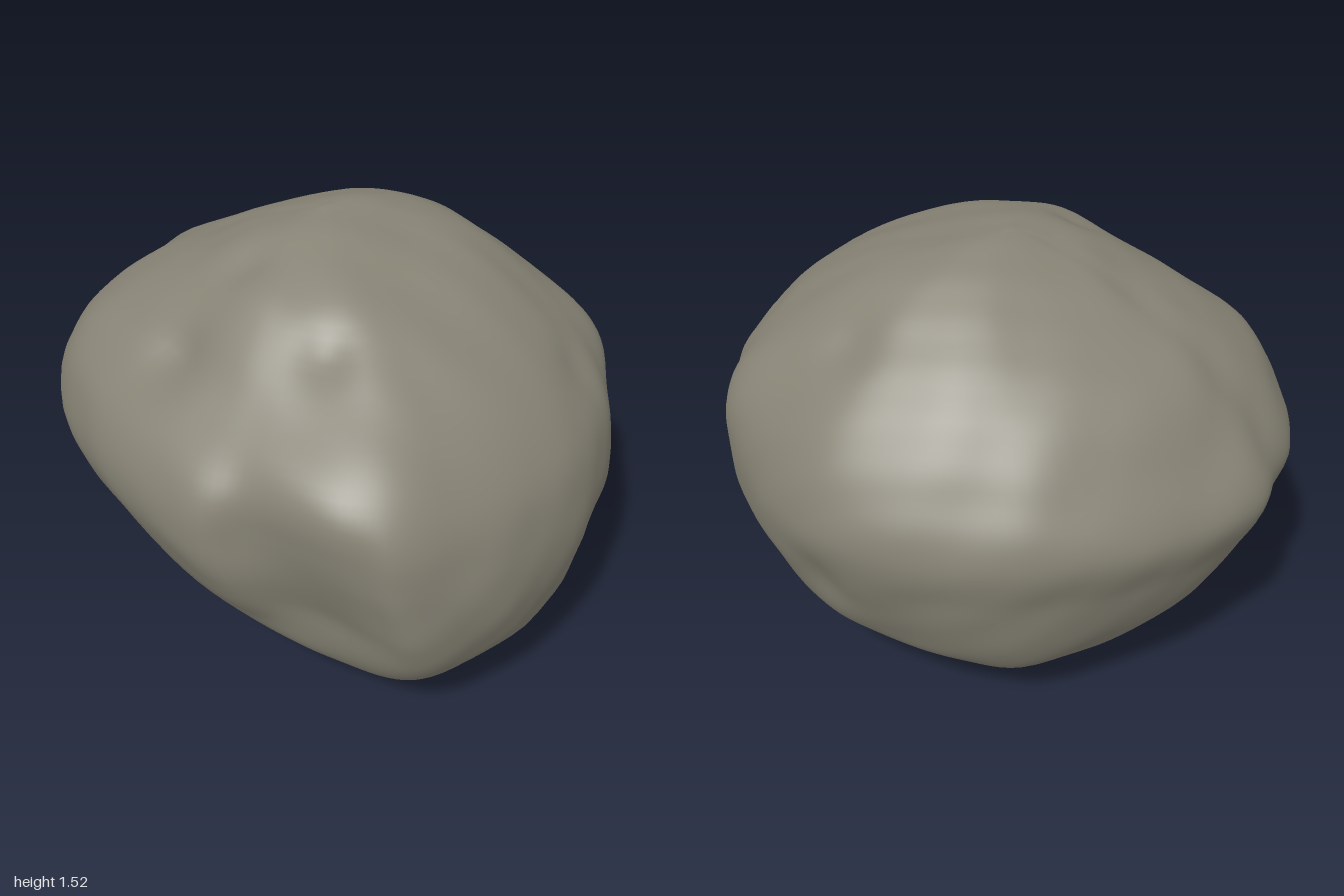
import * as THREE from 'three';
import { mergeVertices } from 'three/addons/utils/BufferGeometryUtils.js';

// Plan outline (x, z), starting at the back and running past the left side
const PLAN = [
  [-0.16, -1], [0.16, -0.92], [0.49, -0.745], [0.66, -0.58], [0.79, -0.39], [0.88, -0.185],
  [0.9, 0], [0.86, 0.24], [0.77, 0.49], [0.635, 0.67], [0.48, 0.82], [0.21, 0.95],
  [-0.16, 1], [-0.39, 0.96], [-0.54, 0.89], [-0.65, 0.78], [-0.74, 0.63], [-0.82, 0.46],
  [-0.88, 0.27], [-0.9, 0], [-0.85, -0.34], [-0.71, -0.69], [-0.525, -0.88], [-0.34, -0.95],
];

// The same outline where the large hollow cuts the front right corner
const HOLLOW_START = 14;
const HOLLOW = [[-0.56, 0.9], [-0.615, 0.79], [-0.67, 0.635], [-0.76, 0.46], [-0.885, 0.31]];
const HOLLOWED_PLAN = PLAN.map((p, i) => HOLLOW[i - HOLLOW_START] ?? p);

// Tilted sections from bottom to top: back y, back z, front y, front z, side y, min x, max x
const LEVELS = [
  [0.07, 0.1, 0.07, 0.1, 0.07, 0, 0],
  [0.03, -0.15, 0.11, 0.3, 0.05, -0.2, 0.2],
  [0.003, -0.36, 0.115, 0.52, 0.06, -0.34, 0.36],
  [0.04, -0.54, 0.13, 0.68, 0.12, -0.45, 0.44],
  [0.13, -0.63, 0.18, 0.78, 0.19, -0.56, 0.56],
  [0.25, -0.73, 0.27, 0.87, 0.28, -0.64, 0.71],
  [0.4, -0.83, 0.4, 0.94, 0.4, -0.72, 0.79],
  [0.6, -0.925, 0.6, 0.995, 0.6, -0.835, 0.87],
  [0.8, -1, 0.8, 0.99, 0.8, -0.9, 0.9],
  [1.0, -0.89, 1.0, 0.925, 1.0, -0.86, 0.84],
  [1.2, -0.71, 1.2, 0.74, 1.2, -0.67, 0.68],
  [1.4, -0.37, 1.4, 0.4, 1.4, -0.43, 0.44],
  [1.49, -0.16, 1.49, 0.12, 1.495, -0.19, 0.19],
  [1.52, -0.06, 1.52, -0.06, 1.52, -0.02, -0.02],
];

// Craters: centre x, y, z, radius, depth
const CRATERS = [
  [-0.63, 1.18, -0.06, 0.11, 0.05],
  [-0.36, 1.42, -0.06, 0.09, 0.025],
  [-0.4, 1.33, 0.39, 0.09, 0.03],
  [0.36, 0.55, 0.86, 0.13, 0.03],
  [0.87, 0.55, -0.02, 0.12, 0.025],
  [0.56, 1.26, 0.08, 0.1, 0.025],
  [0.38, 1.1, 0.72, 0.1, 0.02],
  [-0.1, 0.2, -0.65, 0.08, 0.02],
  [0.05, 0.08, 0.12, 0.22, 0.015],
  [0.5, 0.17, 0.12, 0.22, 0.03],
  [-0.5, 0.17, 0.12, 0.22, 0.03],
];

// Broad swellings: centre x, y, z, radius, height
const SWELLINGS = [
  [-0.55, 1.0, 0.66, 0.22, 0.07],
  [-0.45, 0.38, 0.8, 0.22, 0.04],
  [0.5, 0.3, -0.5, 0.27, 0.05],
  [0.25, 0.5, -0.78, 0.28, 0.03],
  [-0.62, 1.05, -0.5, 0.25, 0.05],
  [-0.72, 0.55, -0.45, 0.22, 0.03],
  [0.68, 1.02, 0.48, 0.22, 0.035],
];
const RELIEF = [...SWELLINGS, ...CRATERS.map(([x, y, z, r, depth]) => [x, y, z, r, -depth])];

const SEGMENTS = 128, RINGS = 110;
const { lerp, smoothstep } = THREE.MathUtils;
const curve = (pts, closed = false) => new THREE.CatmullRomCurve3(pts, closed, 'catmullrom', 0.5);

function sampleOutline(points) {
  const c = curve(points.map(([x, z]) => new THREE.Vector3(x / 0.9, 0, z)), true);
  return Array.from({ length: SEGMENTS }, (_, j) => c.getPoint(j / SEGMENTS));
}

// Gentle lumps over the whole surface
function lumps({ x, y, z }) {
  return 0.007 * Math.sin(6.1 * x + 2.3 * z + 1) * Math.sin(7.3 * y + 0.5) * Math.sin(5.7 * z - 2 * x)
    + 0.004 * Math.sin(13 * x + 4 * y) * Math.sin(12 * z + 5 * y + 2)
    + 0.002 * Math.sin(25 * x - 9 * z) * Math.sin(23 * y + 11 * z);
}

function rockGeometry() {
  const full = sampleOutline(PLAN), hollowed = sampleOutline(HOLLOWED_PLAN);
  const backs = curve(LEVELS.map(l => new THREE.Vector3(0, l[0], l[1])));
  const fronts = curve(LEVELS.map(l => new THREE.Vector3(0, l[2], l[3])));
  const sides = curve(LEVELS.map(l => new THREE.Vector3(l[5], l[4], l[6])));
  const heart = new THREE.Vector3(0, 0.75, 0);
  const positions = [], index = [];

  for (let i = 0; i <= RINGS; i++) {
    const t = i / RINGS;
    const back = backs.getPoint(t), front = fronts.getPoint(t), side = sides.getPoint(t);
    const lift = side.y - (back.y + front.y) / 2;
    // The hollow fades out above and below the middle
    const fill = smoothstep(Math.abs(side.y - 0.72), 0.15, 0.42);
    for (let j = 0; j < SEGMENTS; j++) {
      const o = hollowed[j].clone().lerp(full[j], fill);
      const p = new THREE.Vector3(
        lerp(side.x, side.z, (o.x + 1) / 2),
        lerp(back.y, front.y, (o.z + 1) / 2) + lift * o.x * o.x,
        lerp(back.z, front.z, (o.z + 1) / 2));
      let push = lumps(p);
      for (const [cx, cy, cz, size, height] of RELIEF) {
        const d = Math.hypot(p.x - cx, p.y - cy, p.z - cz) / size;
        push += height * Math.exp(-d * d);
      }
      p.addScaledVector(p.clone().sub(heart).normalize(), push);
      positions.push(p.x, p.y, p.z);
    }
  }
  // Skin between rings; the end rings are single points
  for (let i = 0; i < RINGS; i++) {
    for (let j = 0; j < SEGMENTS; j++) {
      const a = i * SEGMENTS + j, b = i * SEGMENTS + (j + 1) % SEGMENTS;
      const c = a + SEGMENTS, d = b + SEGMENTS;
      if (i > 0) index.push(a, c, b);
      if (i < RINGS - 1) index.push(b, c, d);
    }
  }
  let geo = new THREE.BufferGeometry();
  geo.setAttribute('position', new THREE.Float32BufferAttribute(positions, 3));
  geo.setIndex(index);
  geo = mergeVertices(geo, 1e-5);
  geo.computeBoundingBox();
  geo.translate(0, -geo.boundingBox.min.y, 0);
  geo.computeVertexNormals();
  return geo;
}

export function createModel() {
  const group = new THREE.Group();
  group.name = 'asteroid';
  const stone = new THREE.MeshStandardMaterial({ color: 0x878375 });
  stone.name = 'greyStone';
  const body = new THREE.Mesh(rockGeometry(), stone);
  body.name = 'rockBody';
  group.add(body);
  return group;
}
